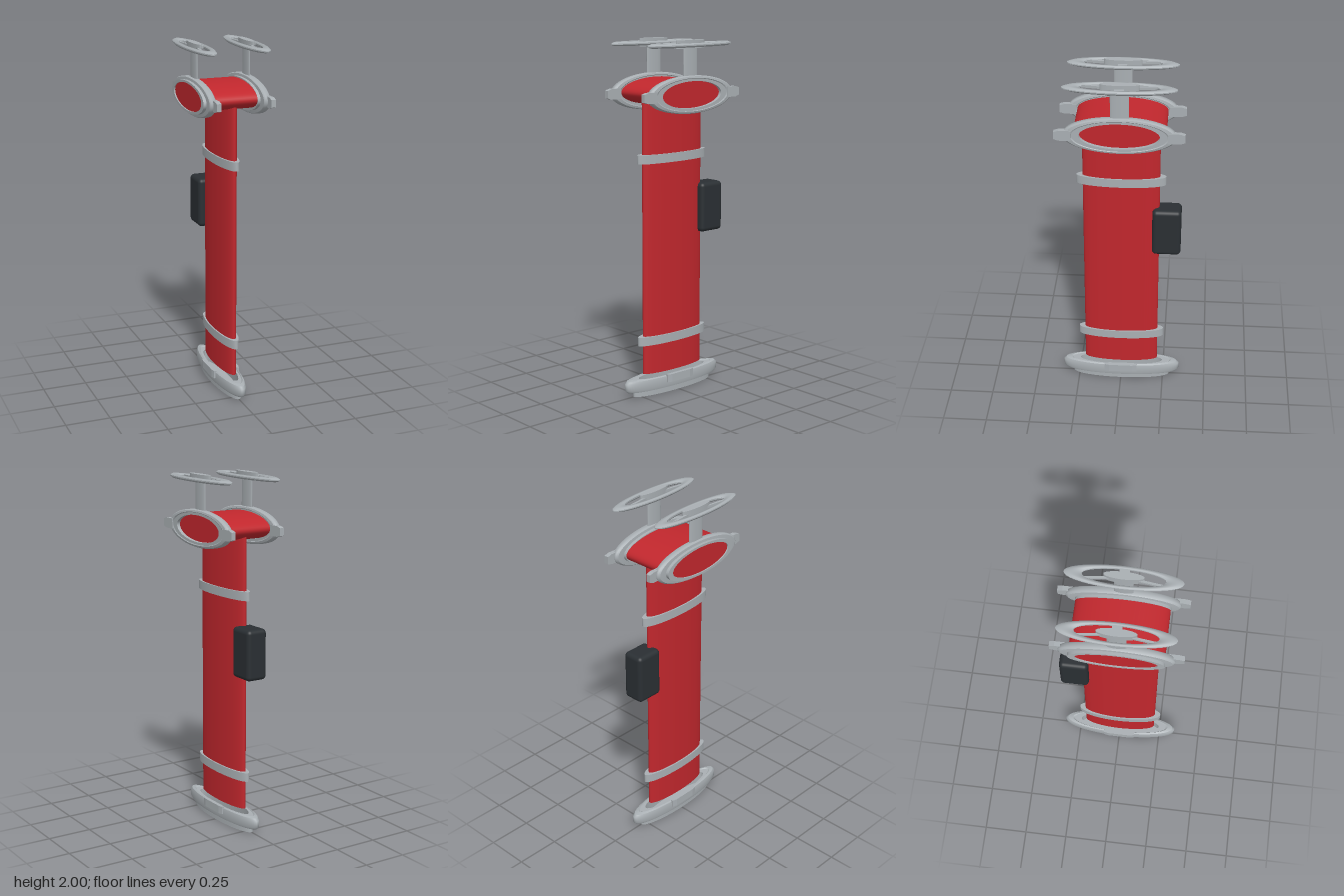
import * as THREE from 'three';
import { toCreasedNormals } from 'three/addons/utils/BufferGeometryUtils.js';
import { RoundedBoxGeometry } from 'three/addons/geometries/RoundedBoxGeometry.js';

const red = new THREE.MeshStandardMaterial({ color: 0xc1272d });
const grey = new THREE.MeshStandardMaterial({ color: 0xa9afb3 });
const black = new THREE.MeshStandardMaterial({ color: 0x2a2f33 });

function add(parent, name, geometry, material, x = 0, y = 0, z = 0) {
  const mesh = new THREE.Mesh(geometry, material);
  mesh.name = name;
  mesh.position.set(x, y, z);
  parent.add(mesh);
  return mesh;
}

function lathe(points) {
  const profile = points.map(([r, y]) => new THREE.Vector2(r, y));
  return toCreasedNormals(new THREE.LatheGeometry(profile, 64), 0.6);
}

// Coupling ring of unit radius and unit height, with two opposite lugs
function makeFlange(name, lugAngle) {
  const flange = new THREE.Group();
  flange.name = name;
  add(flange, 'couplingRing', lathe([
    [0.71, 0], [0.83, 0], [0.83, 0.27], [0.96, 0.3], [1, 0.42], [1, 0.78],
    [0.96, 0.9], [0.87, 0.95], [0.84, 0.9], [0.71, 0.9], [0.71, 0],
  ]), grey);
  const outline = new THREE.Shape([
    [0.85, -0.28], [1.06, -0.28], [1.15, -0.2], [1.15, 0.2], [1.06, 0.28], [0.85, 0.28],
  ].map(([x, y]) => new THREE.Vector2(x, y)));
  const lug = new THREE.ExtrudeGeometry(outline, { depth: 0.42, bevelEnabled: false });
  lug.rotateX(-Math.PI / 2);
  for (const turn of [0, Math.PI]) {
    add(flange, 'lug', lug, grey, 0, 0.58, 0).rotation.y = lugAngle + turn;
  }
  return flange;
}

// Handwheel: rim, hub and three spokes, squashed to an oval
function makeHandwheel() {
  const wheel = new THREE.Group();
  wheel.name = 'handwheel';
  add(wheel, 'rim', lathe([
    [0.7, -0.004], [0.76, -0.011], [0.92, -0.011], [1, -0.003], [1, 0.003],
    [0.92, 0.011], [0.76, 0.011], [0.7, 0.004], [0.7, -0.004],
  ]), grey);
  add(wheel, 'hub', new THREE.CylinderGeometry(0.34, 0.34, 0.045, 48), grey, 0, 0.0035, 0);
  const spoke = new THREE.BoxGeometry(0.5, 0.014, 0.17);
  spoke.translate(0.5, 0, 0);
  for (let i = 0; i < 3; i++) {
    add(wheel, 'spoke', spoke, grey).rotation.y = (i * Math.PI * 2) / 3;
  }
  wheel.scale.set(0.063, 1, 0.302);
  return wheel;
}

export function createModel() {
  const model = new THREE.Group();
  model.name = 'standpipe';
  const disc = (height) => new THREE.CylinderGeometry(1, 1, height, 64);

  // Foot coupling with closed underside
  const foot = makeFlange('footCoupling', 0);
  foot.scale.set(0.0725, 0.108, 0.345);
  add(foot, 'footPlate', new THREE.CylinderGeometry(0.75, 0.75, 0.2, 64), grey, 0, 0.102, 0);
  model.add(foot);

  // Oval column with two clamps
  add(model, 'column', disc(1.56), red, 0, 0.9, 0).scale.set(0.045, 1, 0.214);
  const band = lathe([[0.84, -0.025], [1, -0.025], [1, 0.025], [0.84, 0.025], [0.84, -0.025]]);
  for (const y of [0.315, 1.35]) {
    add(model, 'clamp', band, grey, 0, y, 0).scale.set(0.053, 1, 0.248);
  }

  // Grip box behind the column
  add(model, 'gripBox', new RoundedBoxGeometry(0.126, 0.285, 0.162, 5, 0.024), black, 0, 1.038, -0.256);

  // Cross tube with narrower core reaching into the couplings
  const tube = add(model, 'crossTube', disc(0.27), red, -0.005, 1.709, 0);
  tube.rotation.z = -Math.PI / 2;
  tube.scale.set(0.075, 1, 0.248);
  const core = add(model, 'tubeCore', disc(0.343), red, -0.0165, 1.705, 0);
  core.rotation.z = -Math.PI / 2;
  core.scale.set(0.0738, 1, 0.213);

  // Outlet couplings share one direction; each has a valve above it
  for (const [start, stemX, side] of [[-0.194, -0.153, 'right'], [0.116, 0.152, 'left']]) {
    const outlet = makeFlange(side + 'OutletCoupling', Math.PI / 2);
    outlet.position.set(start, 1.704, 0);
    outlet.rotation.z = -Math.PI / 2;
    outlet.scale.set(0.104, 0.063, 0.302);
    model.add(outlet);
    add(model, side + 'ValveStem', disc(0.19), grey, stemX, 1.873, 0).scale.set(0.0105, 1, 0.05);
    const wheel = makeHandwheel();
    wheel.position.set(stemX, 1.974, 0);
    model.add(wheel);
  }
  return model;
}
